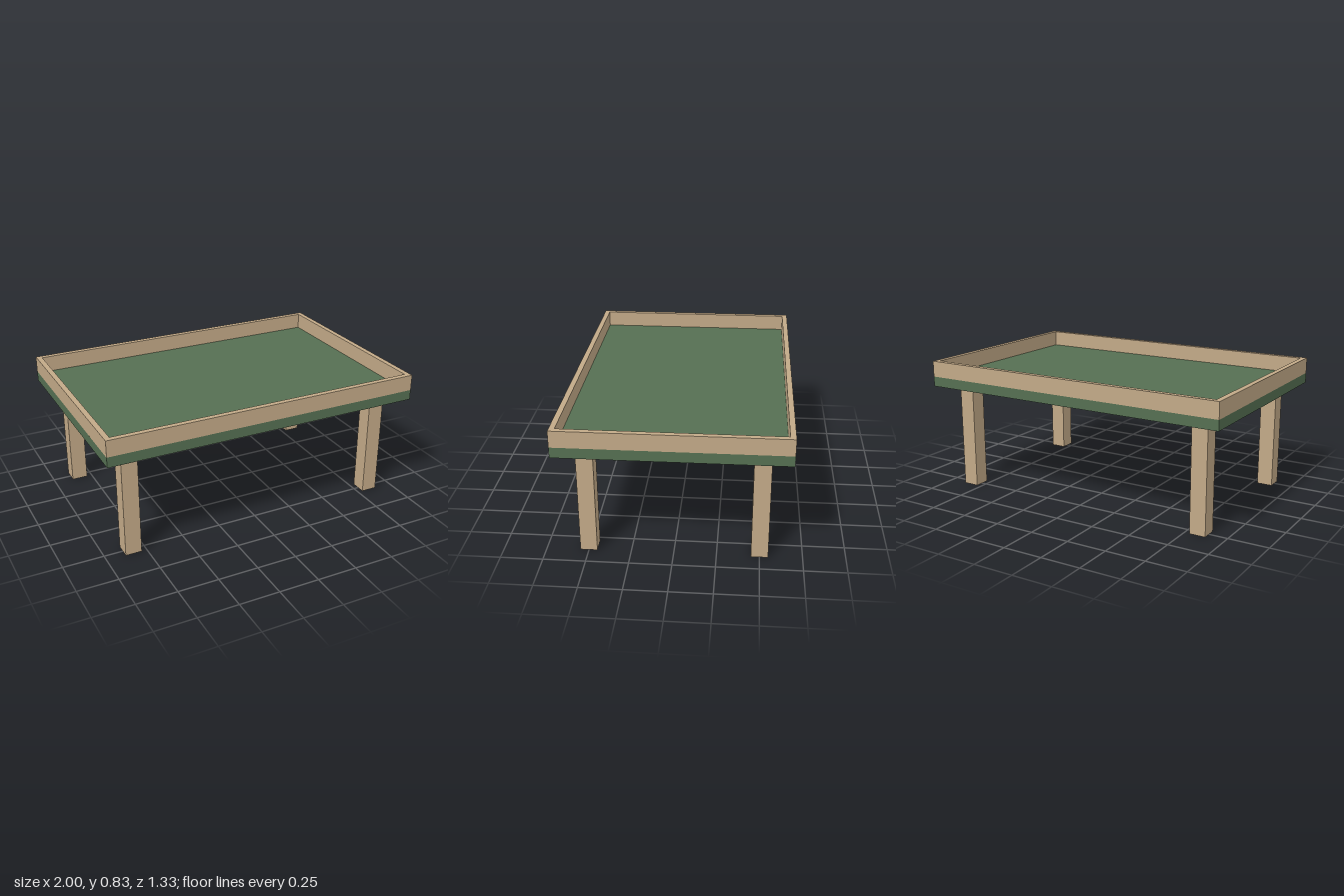
import * as THREE from 'three';

export function createModel() {
  const wood = new THREE.MeshStandardMaterial({ color: 0xc2a987 });
  wood.name = 'tan wood';
  const felt = new THREE.MeshStandardMaterial({ color: 0x556f52 });
  felt.name = 'green felt';

  const table = new THREE.Group();
  table.name = 'table';

  const W = 2, D = 1.333;            // table top footprint
  const legTop = 0.67, bedTop = 0.733, rimTop = 0.833;
  const rim = 0.033, leg = 0.1;

  // Box placed by its centre in x and z and by its bottom and top heights
  function box(name, material, w, d, x, z, bottom, top) {
    const mesh = new THREE.Mesh(new THREE.BoxGeometry(w, top - bottom, d), material);
    mesh.position.set(x, (bottom + top) / 2, z);
    mesh.name = name;
    table.add(mesh);
  }

  // Playing bed
  box('bed', felt, W, D, 0, 0, legTop, bedTop);

  // Raised rim: long rails front and back, short rails between them
  for (const s of [1, -1]) {
    box(s > 0 ? 'frontRail' : 'backRail', wood, W, rim, 0, s * (D - rim) / 2, bedTop, rimTop);
    box(s > 0 ? 'leftRail' : 'rightRail', wood, rim, D - 2 * rim, s * (W - rim) / 2, 0, bedTop, rimTop);
  }

  // Four square legs
  for (const sx of [1, -1]) {
    for (const sz of [1, -1]) {
      const name = (sz > 0 ? 'front' : 'back') + (sx > 0 ? 'Left' : 'Right') + 'Leg';
      box(name, wood, leg, leg, sx * 0.833, sz * 0.5, 0, legTop);
    }
  }

  return table;
}
